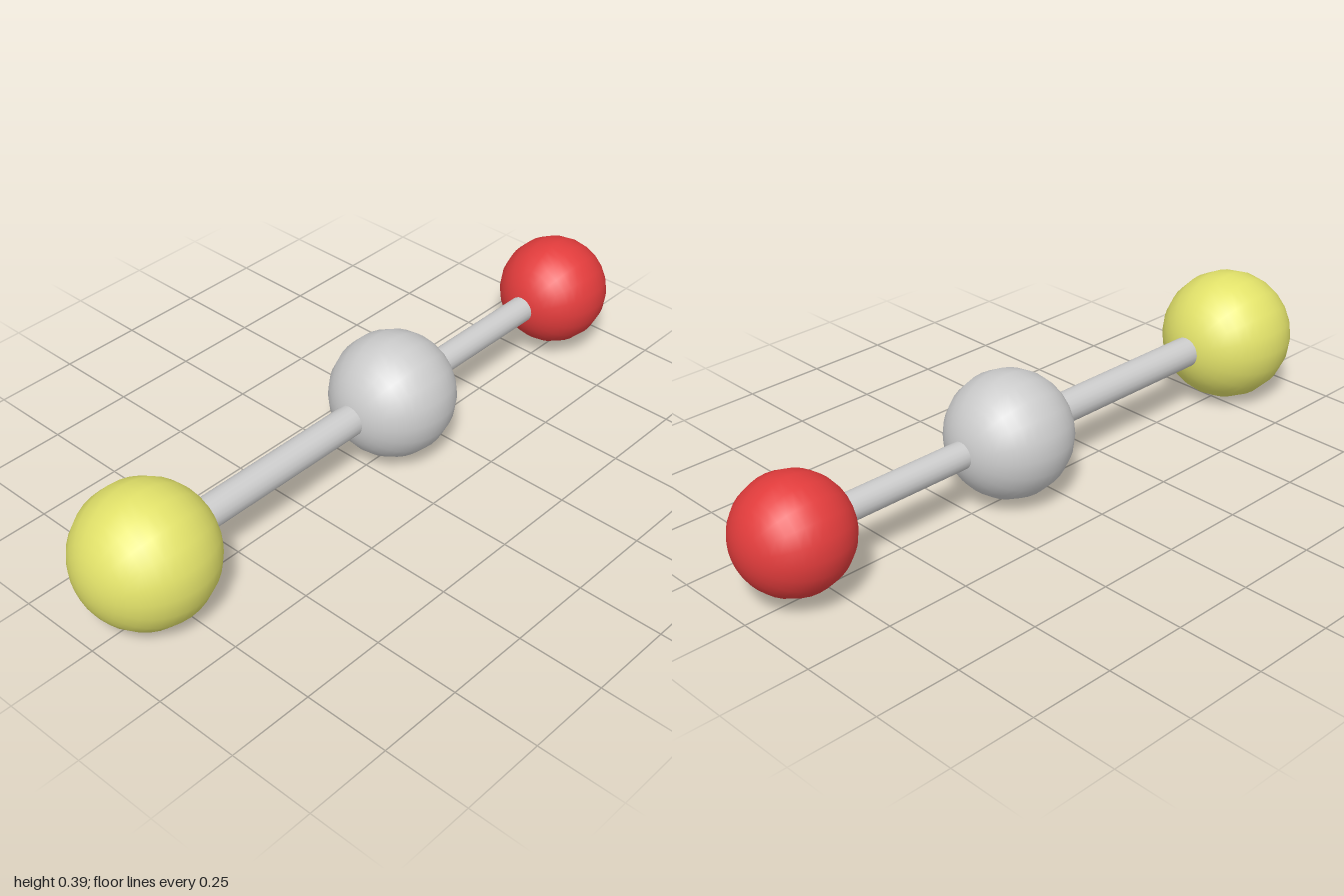
import * as THREE from 'three';

const AXIS_Y = 0.194;

export function createModel() {
  const model = new THREE.Group();
  model.name = 'linearMolecule';
  const grey = new THREE.MeshStandardMaterial({ color: 0xcccccc });
  const yellow = new THREE.MeshStandardMaterial({ color: 0xe2e26a });
  const red = new THREE.MeshStandardMaterial({ color: 0xe23c3c });

  const add = (name, geometry, material, z) => {
    geometry.rotateX(Math.PI / 2); // poles and rods run along z
    const mesh = new THREE.Mesh(geometry, material);
    mesh.name = name;
    mesh.position.set(0, AXIS_Y, z);
    model.add(mesh);
  };

  // Atoms: smooth balls of 20 sides
  const atoms = [
    { name: 'frontAtom', r: 0.194, z: 0.806, material: yellow },
    { name: 'middleAtom', r: 0.18, z: -0.108, material: grey },
    { name: 'backAtom', r: 0.161, z: -0.839, material: red },
  ];
  for (const a of atoms) add(a.name, new THREE.SphereGeometry(a.r, 20, 20), a.material, a.z);

  // Bonds: rods from the middle atom into each outer atom
  const bond = (name, r, z0, z1) =>
    add(name, new THREE.CylinderGeometry(r, r, Math.abs(z1 - z0), 20), grey, (z0 + z1) / 2);
  bond('frontBond', 0.045, atoms[1].z, atoms[0].z);
  bond('backBond', 0.039, atoms[1].z, atoms[2].z);

  return model;
}
